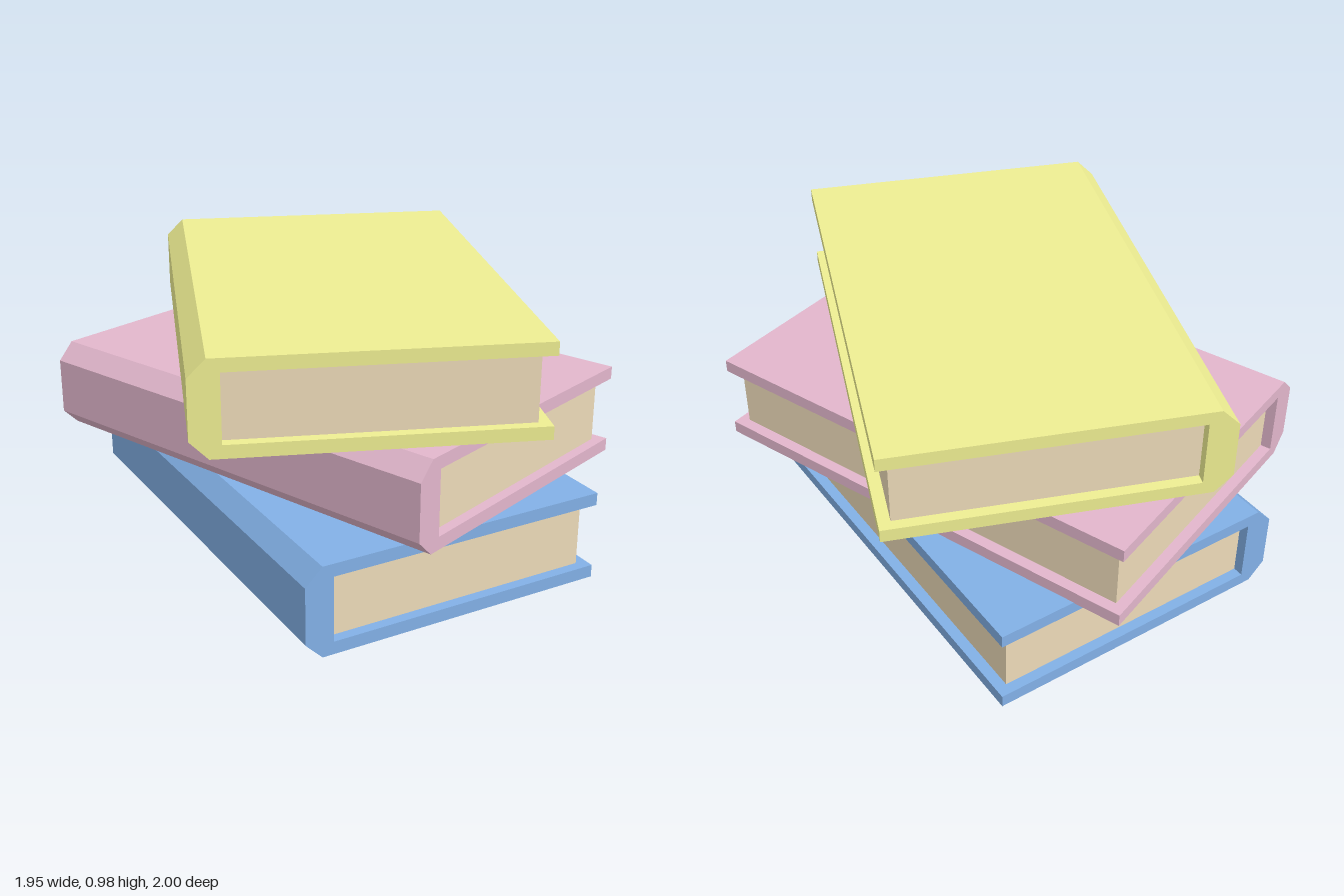
import * as THREE from 'three';

const W = 1.12, H = 0.32, L = 1.675; // cover width, thickness, length
const BOARD = 0.045, SPINE = 0.1, CHAMFER = 0.06, INSET = 0.04;

const material = (color) => new THREE.MeshStandardMaterial({ color, flatShading: true });

// C-shaped cover: two boards joined by a spine with bevelled corners, on the -x side
function coverGeometry() {
  const x = W / 2, y = H / 2, inX = -x + SPINE, inY = y - BOARD;
  const shape = new THREE.Shape([
    [x, -y], [x, -inY], [inX, -inY], [inX, inY], [x, inY], [x, y],
    [-x + CHAMFER, y], [-x, y - CHAMFER], [-x, -y + CHAMFER], [-x + CHAMFER, -y],
  ].map(([px, py]) => new THREE.Vector2(px, py)));
  return new THREE.ExtrudeGeometry(shape, { depth: L, bevelEnabled: false }).translate(0, 0, -L / 2);
}

function makeBook(name, color, pageMaterial) {
  const book = new THREE.Group();
  book.name = name;

  const cover = new THREE.Mesh(coverGeometry(), material(color));
  cover.name = name + 'Cover';

  // page block, set back from the cover edges on three sides
  const pageW = W - SPINE - INSET;
  const pages = new THREE.Mesh(new THREE.BoxGeometry(pageW, H - 2 * BOARD, L - 2 * INSET + 0.005), pageMaterial);
  pages.position.x = -W / 2 + SPINE + pageW / 2;
  pages.name = name + 'Pages';

  book.add(cover, pages);
  return book;
}

export function createModel() {
  const model = new THREE.Group();
  model.name = 'bookStack';
  const paper = material(0xecdab8);

  // name, colour, centre, turn about the vertical, slight lean
  const books = [
    ['bottomBook', 0x82b0e6, [0.01, 0.165, -0.02], -0.358, 0.005],
    ['middleBook', 0xe2b6cc, [0.01, 0.488, -0.035], 0, 0.001],
    ['topBook', 0xeeee92, [0, 0.811, 0], -0.722, 0.003],
  ];
  for (const [name, color, centre, turn, lean] of books) {
    const book = makeBook(name, color, paper);
    book.position.set(...centre);
    book.rotation.set(lean, turn, lean, 'XZY');
    model.add(book);
  }
  return model;
}
